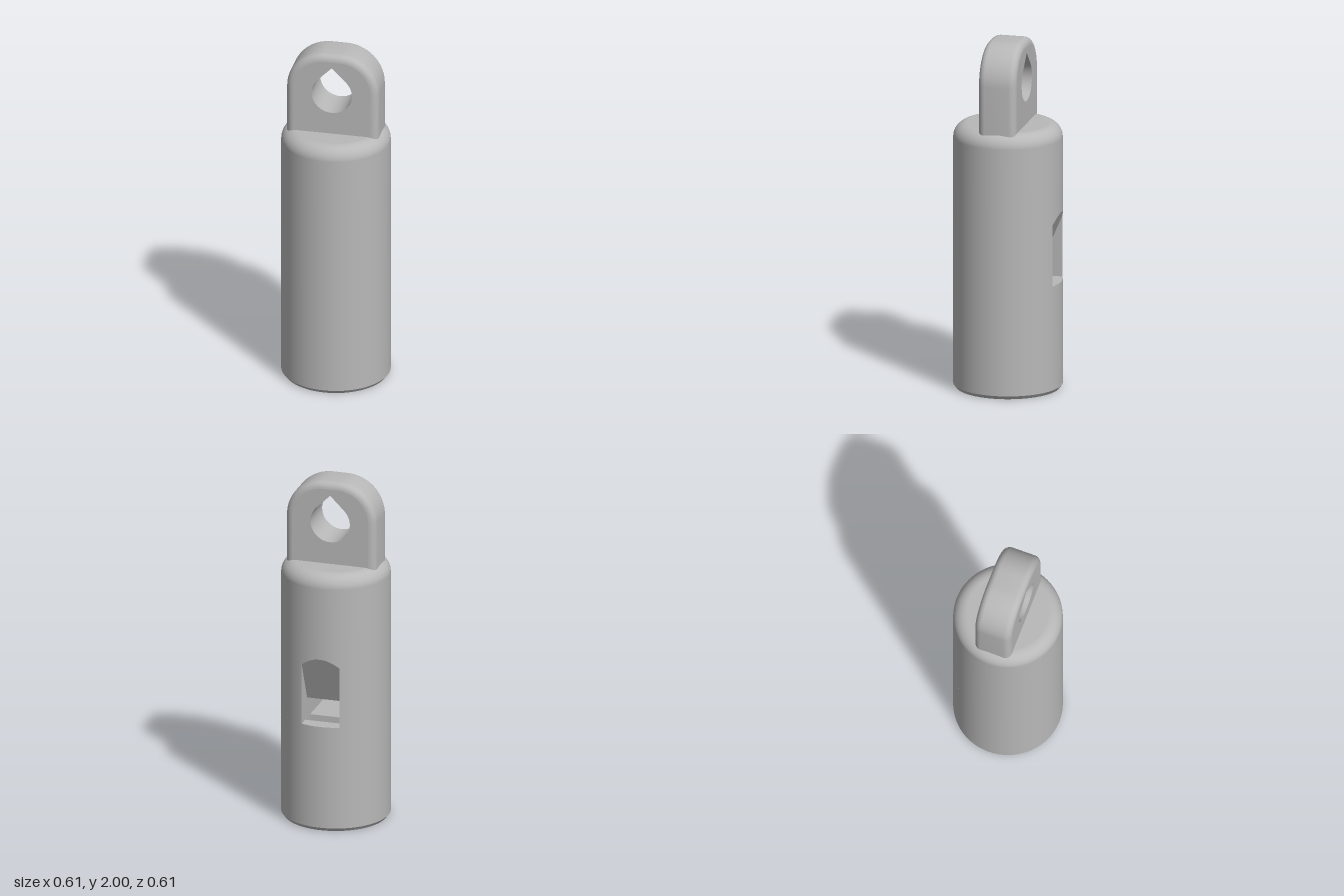
import * as THREE from 'three';
import { toCreasedNormals } from 'three/addons/utils/BufferGeometryUtils.js';

const R = 0.305;                 // body radius
const W = 0.11;                  // half width of the window and air slot
const Y0 = 0.62, Y1 = 1.02;      // window bottom and top
const TIP = { y: 0.74, z: -0.185 }; // lower edge of the ramp
const SLOT = [-0.22, -0.13];     // z range of the air slot
const CHAMBER = { top: 1.4, back: 0.15 };
const A = Math.asin(W / R);      // half angle of the window

export function createModel() {
  const group = new THREE.Group();
  const grey = new THREE.MeshStandardMaterial({ color: 0xb8b8b8, side: THREE.DoubleSide });
  grey.name = 'grey';

  const add = (name, geometry) => {
    const mesh = new THREE.Mesh(geometry, grey);
    mesh.name = name;
    group.add(mesh);
    return mesh;
  };

  // Surface through rows of points, all rows having the same length
  const loft = (rows) => {
    const n = rows[0].length, index = [];
    for (let j = 0; j < rows.length - 1; j++) {
      for (let i = 0; i < n - 1; i++) {
        const a = j * n + i, b = a + 1, c = a + n, d = c + 1;
        index.push(a, b, d, a, d, c);
      }
    }
    const g = new THREE.BufferGeometry();
    g.setAttribute('position', new THREE.Float32BufferAttribute(rows.flat(2), 3));
    g.setIndex(index);
    g.computeVertexNormals();
    return toCreasedNormals(g, 0.5);
  };

  const lathe = (name, pts, start = 0, length = Math.PI * 2) =>
    add(name, new THREE.LatheGeometry(pts.map(([x, y]) => new THREE.Vector2(x, y)), 96, start, length));

  // Outer body: chamfer, lower wall, wall beside the window, rounded top
  lathe('bottomChamfer', [[0.29, 0], [R, 0.02]]);
  lathe('lowerBody', [[R, 0.02], [R, Y0]]);
  lathe('middleBody', [[R, Y0], [R, Y1]], Math.PI + A, Math.PI * 2 - 2 * A);
  const top = [[R, Y1]];
  for (let i = 0; i <= 10; i++) {
    const t = (i / 10) * Math.PI / 2;
    top.push([R - 0.08 + 0.08 * Math.cos(t), 1.44 + 0.08 * Math.sin(t)]);
  }
  top.push([0, 1.52]);
  lathe('upperBody', top);

  // Base disc with the air slot opening
  const base = new THREE.Shape().absarc(0, 0, 0.29, 0, Math.PI * 2);
  base.holes.push(new THREE.Path([[-W, SLOT[0]], [-W, SLOT[1]], [W, SLOT[1]], [W, SLOT[0]]]
    .map(([x, z]) => new THREE.Vector2(x, z))));
  add('base', new THREE.ShapeGeometry(base, 48).rotateX(Math.PI / 2));

  // Air slot running from the base up to the window
  const slotRing = (y) => [[-W, y, SLOT[0]], [W, y, SLOT[0]], [W, y, SLOT[1]], [-W, y, SLOT[1]], [-W, y, SLOT[0]]];
  add('airSlot', loft([slotRing(0), slotRing(Y0)]));

  // Ramp above the window, cut into the round wall
  const slope = (Y1 - TIP.y) / (R + TIP.z);
  const angles = Array.from({ length: 17 }, (_, i) => -A + (2 * A * i) / 16);
  const arc = (yOf) => angles.map((t) => [R * Math.sin(t), yOf(R * Math.cos(t)), -R * Math.cos(t)]);
  const rampEdge = arc((r) => Y1 - (R - r) * slope);
  const line = (y, z) => angles.map((t) => [R * Math.sin(t), y, z]);
  add('wallAboveRamp', loft([arc(() => Y1), rampEdge]));
  add('ramp', loft([rampEdge, line(TIP.y, TIP.z)]));

  // Window floor on both sides of the slot
  add('windowFloor', loft([arc(() => Y0), line(Y0, SLOT[0])]));
  add('chamberFloor', loft([line(Y0, SLOT[1]), line(Y0, CHAMBER.back)]));

  // Hollow chamber behind the window
  add('chamberWalls', loft([line(TIP.y, TIP.z), line(CHAMBER.top, TIP.z),
    line(CHAMBER.top, CHAMBER.back), line(Y0, CHAMBER.back)]));
  const edge = rampEdge[0];
  for (const x of [-W, W]) {
    const side = new THREE.Shape([[edge[2], Y0], [CHAMBER.back, Y0], [CHAMBER.back, CHAMBER.top],
      [TIP.z, CHAMBER.top], [TIP.z, TIP.y], [edge[2], edge[1]]].map(([z, y]) => new THREE.Vector2(z, y)));
    add('chamberSide', new THREE.ShapeGeometry(side).rotateY(-Math.PI / 2)).position.x = x;
  }

  // Hanging loop: outline with rounded shoulders, inset to round the rim
  const H = 0.262, D = 0.108, B = 0.04, C = 0.22;
  const outline = (inset) => {
    const pts = [[H - inset, 1.45]], r = C - inset;
    for (const s of [0, 1]) {
      for (let i = 0; i <= 16; i++) {
        const t = (s + i / 16) * Math.PI / 2;
        pts.push([(s ? -1 : 1) * (H - C) + r * Math.cos(t), 2 - C + r * Math.sin(t)]);
      }
    }
    pts.push([-H + inset, 1.45]);
    return pts;
  };
  const rim = [];
  for (const s of [-1, 1]) {
    for (let i = 0; i <= 6; i++) {
      const t = (s < 0 ? 6 - i : i) / 6 * Math.PI / 2;
      const z = s * (D - B + B * Math.sin(t));
      rim.push(outline(B * (1 - Math.cos(t))).map(([x, y]) => [x, y, z]));
    }
  }
  add('loopRim', loft(rim));

  // Teardrop hole through the loop
  const hole = [];
  for (let i = 0; i <= 36; i++) {
    const t = Math.PI * (0.75 + 1.5 * i / 36);
    hole.push([0.115 * Math.cos(t), 1.763 + 0.115 * Math.sin(t)]);
  }
  hole.push([0, 1.925], hole[0]);
  add('loopHole', loft([-D, D].map((z) => hole.map(([x, y]) => [x, y, z]))));

  // Flat faces of the loop
  const vec = (pts) => pts.map(([x, y]) => new THREE.Vector2(x, y));
  const face = new THREE.Shape(vec(outline(B)));
  face.holes.push(new THREE.Path(vec(hole.slice(0, -1))));
  add('loopFront', new THREE.ShapeGeometry(face)).position.z = D;
  const back = add('loopBack', new THREE.ShapeGeometry(face));
  back.rotation.y = Math.PI;
  back.position.z = -D;

  return group;
}
